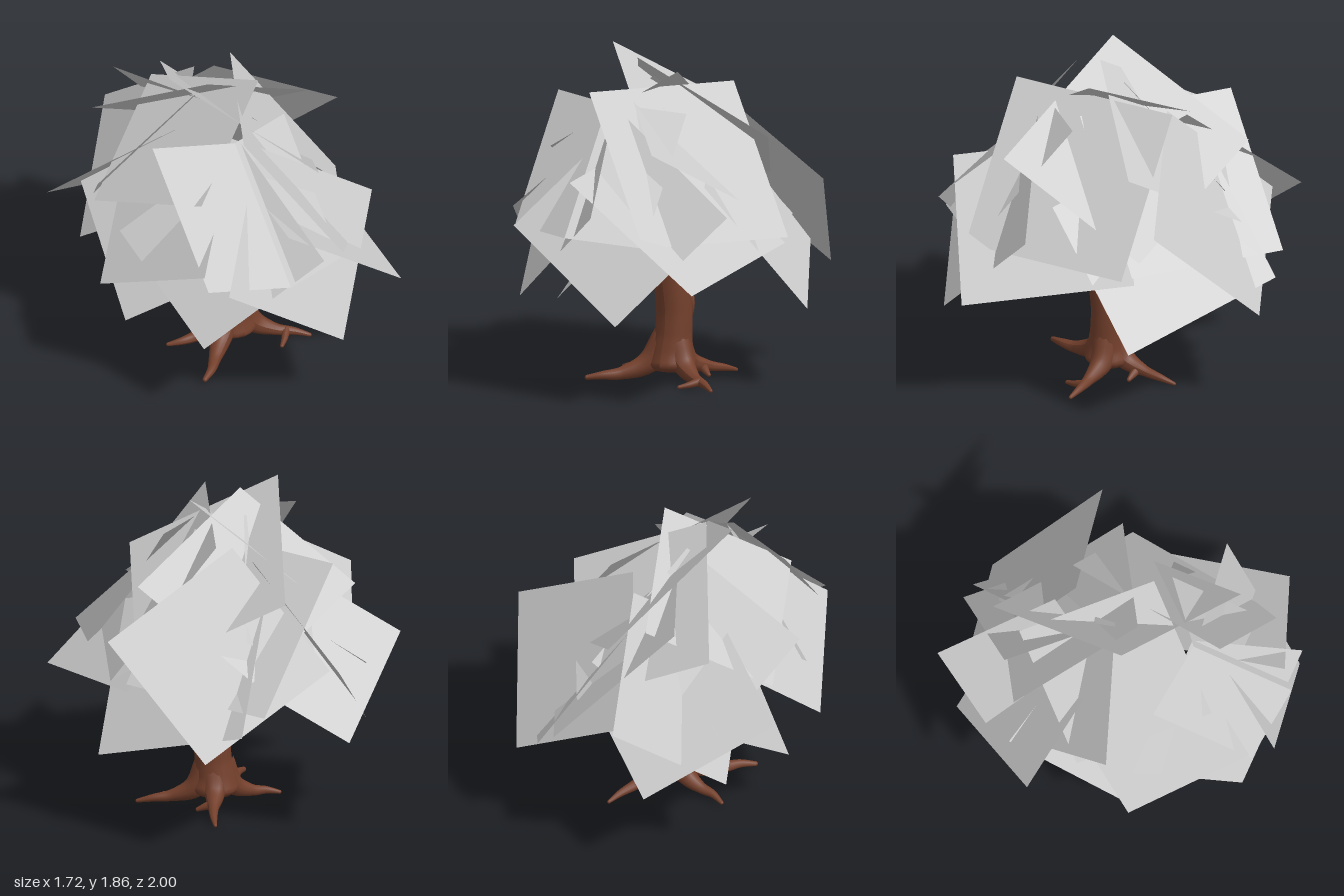
import * as THREE from 'three';

const bark = new THREE.MeshStandardMaterial({ color: 0x74402c });
const leaf = new THREE.MeshStandardMaterial({ color: 0xcccccc, side: THREE.DoubleSide });

// Round limb along a smooth path; each point is [x, y, z, radius]
function limb(name, points, sides = 12, steps = 24) {
  const path = new THREE.CatmullRomCurve3(points.map(p => new THREE.Vector3(p[0], p[1], p[2])));
  const geo = new THREE.TubeGeometry(path, steps, 1, sides, false);
  const pos = geo.attributes.position;
  const v = new THREE.Vector3();
  const last = points.length - 1;
  for (let i = 0; i <= steps; i++) {
    // match the arc-length spacing of the rings to the point list
    const u = path.getUtoTmapping(i / steps) * last;
    const k = Math.min(Math.floor(u), last - 1);
    const r = THREE.MathUtils.lerp(points[k][3], points[k + 1][3], u - k);
    const c = path.getPointAt(i / steps);
    for (let j = 0; j <= sides; j++) {
      const n = i * (sides + 1) + j;
      v.fromBufferAttribute(pos, n).sub(c).multiplyScalar(r).add(c);
      pos.setXYZ(n, v.x, v.y, v.z);
    }
  }
  geo.computeVertexNormals();
  const mesh = new THREE.Mesh(geo, bark);
  mesh.name = name;
  // rounded tip
  const e = points[last];
  const tip = new THREE.Mesh(new THREE.SphereGeometry(e[3], sides, 8), bark);
  tip.position.set(e[0], e[1], e[2]);
  tip.name = name + 'Tip';
  mesh.add(tip);
  return mesh;
}

// Flat four-cornered leaf card from one corner and its two neighbours
function leafCard(name, a, b, d) {
  const c = b.map((n, i) => n + d[i] - a[i]);
  const geo = new THREE.BufferGeometry();
  geo.setAttribute('position', new THREE.Float32BufferAttribute([...a, ...b, ...c, ...d], 3));
  geo.setIndex([0, 1, 2, 0, 2, 3]);
  geo.computeVertexNormals();
  // turn the front of the card away from the middle of the crown
  const n = geo.attributes.normal;
  const out = [0, 1, 2].map(i => (b[i] + d[i]) / 2 - [0, 0.7, 0][i]);
  if (n.getX(0) * out[0] + n.getY(0) * out[1] + n.getZ(0) * out[2] < 0) {
    geo.setIndex([0, 2, 1, 0, 3, 2]);
    geo.computeVertexNormals();
  }
  const mesh = new THREE.Mesh(geo, leaf);
  mesh.name = name;
  return mesh;
}

export function createModel() {
  const tree = new THREE.Group();
  tree.name = 'tree';

  // Trunk, flared at the foot
  const wood = new THREE.Group();
  wood.name = 'wood';
  wood.add(limb('trunk', [
    [0.04, 0.07, 0.06, 0.1], [0.04, 0.1, 0.06, 0.14], [0.04, 0.17, 0.06, 0.12], [0.05, 0.27, 0.06, 0.104],
    [0.055, 0.4, 0.06, 0.1], [0.045, 0.6, 0.08, 0.1], [0.03, 0.75, 0.1, 0.104], [0.03, 0.83, 0.1, 0.08],
  ], 20, 40));

  // Knot hole on the back of the trunk
  const knot = new THREE.Mesh(new THREE.TorusGeometry(0.04, 0.014, 10, 20), bark);
  knot.name = 'knotRing';
  knot.scale.y = 1.7;
  knot.rotation.y = 2.62;
  knot.position.set(0.1, 0.44, -0.02);
  wood.add(knot);

  // Roots spreading over the ground
  const roots = [
    [[0.01, 0.25, 0.07, 0.08], [-0.07, 0.11, 0.13, 0.065], [-0.18, 0.055, 0.24, 0.035], [-0.25, 0.05, 0.32, 0.024], [-0.32, 0.04, 0.37, 0.014]],
    [[0.07, 0.25, 0.07, 0.08], [0.14, 0.11, 0.1, 0.065], [0.25, 0.055, 0.17, 0.033], [0.34, 0.04, 0.22, 0.022], [0.41, 0.02, 0.27, 0.011]],
    [[0.06, 0.25, 0.05, 0.08], [0.09, 0.11, -0.03, 0.06], [0.16, 0.065, -0.14, 0.03], [0.21, 0.045, -0.23, 0.02], [0.24, 0.025, -0.3, 0.01]],
    [[0.01, 0.25, 0.05, 0.08], [-0.06, 0.11, 0.03, 0.06], [-0.17, 0.06, 0.01, 0.032], [-0.25, 0.05, 0, 0.022], [-0.32, 0.035, -0.03, 0.011]],
    [[0.3, 0.05, 0.2, 0.025], [0.26, 0.035, 0.25, 0.018], [0.22, 0.025, 0.29, 0.011]],
    [[0.14, 0.07, -0.1, 0.028], [0.18, 0.05, -0.07, 0.02], [0.21, 0.035, -0.05, 0.012]],
  ];
  roots.forEach((r, i) => wood.add(limb('root' + (i + 1), r)));

  // Branches inside the crown
  const branches = [
    [[0.04, 0.7, 0.1, 0.07], [0.12, 0.83, 0.11, 0.042], [0.21, 0.87, 0.14, 0.034], [0.28, 0.95, 0.15, 0.026]],
    [[0.01, 0.7, 0.1, 0.08], [-0.09, 0.85, 0.05, 0.05], [-0.2, 0.93, -0.04, 0.038], [-0.3, 1.08, -0.11, 0.024]],
    [[0.03, 0.74, 0.1, 0.075], [0.04, 0.9, 0.06, 0.048], [0.03, 1.0, 0.02, 0.036], [0.05, 1.11, 0.0, 0.024]],
    [[-0.1, 0.86, 0.04, 0.04], [-0.13, 0.98, -0.01, 0.032], [-0.16, 1.12, -0.04, 0.022]],
  ];
  branches.forEach((b, i) => wood.add(limb('branch' + (i + 1), b)));
  tree.add(wood);

  // Crown of large leaf cards: corner and two neighbouring corners
  const cards = {
    // the first two form one card folded down the middle
    front: [
      [[-0.54, 0.95, 0.78], [-0.58, 1.61, 0.24], [-0.12, 0.945, 0.96]],
      [[-0.12, 0.945, 0.96], [-0.16, 1.605, 0.42], [0.29, 0.9, 0.8]],
      [[0.21, 0.48, 0.97], [0.66, 1.06, 0.52], [-0.48, 0.97, 0.9]],
      [[-0.54, 0.54, 0.73], [-0.73, 1.05, 0.14], [0.07, 1.08, 1.0]],
    ],
    left: [
      [[-0.19, 1.69, 0.57], [0.23, 1.65, -0.29], [0.32, 0.91, 0.85]],
      [[0.84, 0.47, -0.05], [0.39, 0.74, -0.86], [0.43, 1.18, 0.37]],
      [[0.86, 1.18, -0.19], [0.57, 0.59, -0.77], [0.11, 1.62, -0.26]],
      [[0.64, 0.68, 0.87], [0.68, 0.82, -0.08], [-0.11, 1.25, 0.92]],
    ],
    right: [
      [[-0.85, 0.73, 0.13], [-0.56, 1.05, 0.77], [-0.42, 1.21, -0.3]],
      [[-0.67, 0.4, 0.1], [-0.57, 0.92, -0.56], [-0.07, 0.85, 0.55]],
      [[-0.79, 1.3, 0.0], [-0.1, 1.7, -0.02], [-0.49, 0.78, -0.56]],
    ],
    back: [
      [[-0.86, 1.01, -0.43], [-0.28, 0.6, -0.88], [-0.26, 1.44, -0.06]],
      [[-0.15, 1.07, -1.0], [0.05, 1.57, -0.37], [-0.6, 0.57, -0.51]],
      [[0.27, 0.85, -0.9], [0.675, 0.86, -0.07], [-0.33, 1.56, -0.61]],
    ],
    top: [
      [[-0.35, 1.87, 0.04], [0.03, 1.41, -0.71], [0.25, 1.39, 0.64]],
      [[-0.15, 1.81, 0.11], [0.59, 1.41, -0.05], [-0.51, 1.39, -0.54]],
      [[0.14, 1.77, 0.17], [-0.45, 1.36, 0.55], [-0.12, 1.47, -0.55]],
    ],
  };
  const crown = new THREE.Group();
  crown.name = 'crown';
  for (const [side, list] of Object.entries(cards)) {
    list.forEach((c, i) => crown.add(leafCard(side + 'Leaf' + (i + 1), ...c)));
  }
  tree.add(crown);
  return tree;
}
